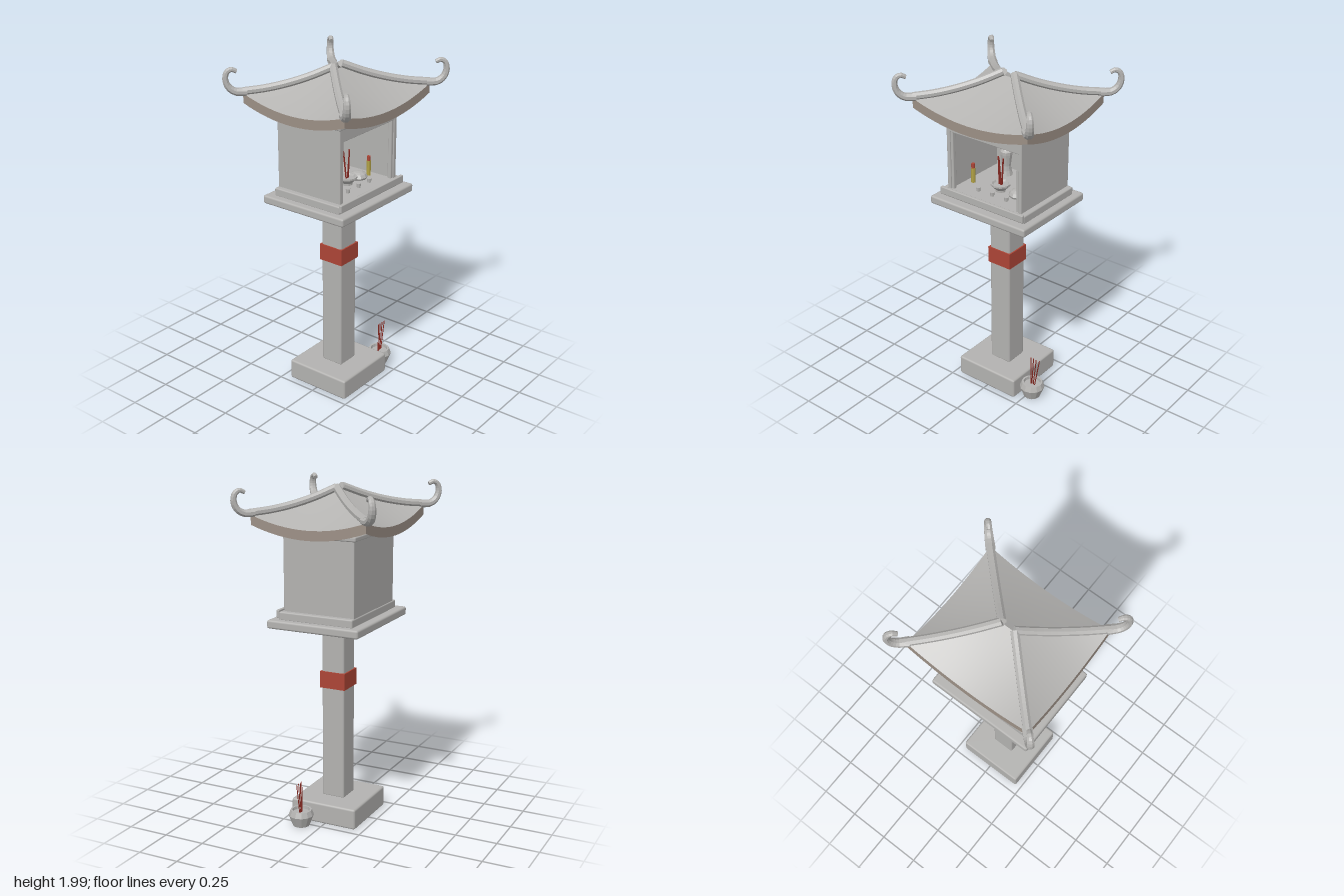
import * as THREE from 'three';
import { RoundedBoxGeometry } from 'three/addons/geometries/RoundedBoxGeometry.js';

const mat = (name, color, extra = {}) => Object.assign(new THREE.MeshStandardMaterial({ color, ...extra }), { name });

export function createModel() {
  const stone = mat('stone', 0xb3b2b0);
  const eave = mat('eaveStone', 0x9c9086, { side: THREE.DoubleSide });
  const red = mat('red', 0xac4536);
  const gold = mat('gold', 0xb0a044);
  const incense = mat('incense', 0x8a2a22);

  const root = new THREE.Group();
  root.name = 'pillarShrine';

  const add = (name, geo, material = stone, parent = root) => {
    const m = new THREE.Mesh(geo, material);
    m.name = name;
    parent.add(m);
    return m;
  };
  // Block given by its min and max on each axis, with a small bevel
  const block = (name, [x0, x1], [y0, y1], [z0, z1], bevel = 0.008, material = stone) => {
    const s = [x1 - x0, y1 - y0, z1 - z0];
    const g = bevel ? new RoundedBoxGeometry(...s, 1, bevel) : new THREE.BoxGeometry(...s);
    return add(name, g.translate((x0 + x1) / 2, (y0 + y1) / 2, (z0 + z1) / 2), material);
  };
  // Faceted turned object from [radius, height] pairs
  const turned = (name, pts, sides, x, y, z, material = stone) => {
    const lathe = new THREE.LatheGeometry(pts.map(p => new THREE.Vector2(...p)), sides).toNonIndexed();
    lathe.computeVertexNormals();
    return add(name, lathe.translate(x, y, z), material);
  };
  // Thin stick between two points
  const stick = (name, a, b, r, material) => {
    const A = new THREE.Vector3(...a), B = new THREE.Vector3(...b);
    const m = add(name, new THREE.CylinderGeometry(r, r, A.distanceTo(B), 6), material);
    m.position.copy(A).add(B).multiplyScalar(0.5);
    m.quaternion.setFromUnitVectors(new THREE.Vector3(0, 1, 0), B.sub(A).normalize());
  };
  const build = (pos, idx) => {
    const g = new THREE.BufferGeometry();
    g.setAttribute('position', new THREE.Float32BufferAttribute(pos, 3));
    g.setIndex(idx);
    return g;
  };

  // Base, pillar and red band
  block('base', [-0.215, 0.207], [0, 0.125], [-0.2, 0.217], 0.012);
  block('pillar', [-0.074, 0.069], [0.12, 1.2], [-0.061, 0.082], 0.01);
  block('redBand', [-0.082, 0.077], [0.8, 0.9], [-0.069, 0.09], 0, red);

  // Platform, floor slab and front lip
  block('platform', [-0.338, 0.334], [1.19, 1.24], [-0.275, 0.296], 0.012);
  block('floorSlab', [-0.296, 0.292], [1.235, 1.285], [-0.222, 0.24]);
  block('frontLip', [-0.296, 0.292], [1.25, 1.295], [0.235, 0.255], 0.005);

  // House: back, sides, front frame, ceiling
  block('backWall', [-0.265, 0.26], [1.28, 1.72], [-0.217, -0.195], 0.004);
  block('leftWall', [0.236, 0.26], [1.28, 1.72], [-0.217, 0.222], 0.004);
  block('rightWall', [-0.265, -0.241], [1.28, 1.72], [-0.217, 0.222], 0.004);
  block('lintel', [-0.262, 0.257], [1.635, 1.72], [0.2, 0.22], 0.004);
  for (const x of [-0.238, 0.233])
    block('doorPost', [x - 0.013, x + 0.013], [1.28, 1.64], [0.19, 0.215], 0.005);
  block('ceilingPlate', [-0.286, 0.282], [1.712, 1.74], [-0.235, 0.239]);

  // Roof: four curved panels whose eaves sag between raised corners
  const RX = 0.391, RZ = 0.348, RIDGE = 0.04, THICK = 0.055;
  const hip = v => 1.838 + 0.02 * v + 0.092 * v * v;
  const roofPoint = (side, u, v, drop) => {
    const hx = RX + (RIDGE - RX) * v, hz = RZ * (1 - v);
    const y = hip(v) - 0.063 * (1 - v) ** 2 * (1 - u * u) - drop;
    const s = side < 2 ? 1 : -1;
    return side % 2 ? [s * hx, y, -s * u * hz] : [s * u * hx, y, s * hz];
  };
  const grid = (nu, nv, fn) => {
    const pos = [], idx = [];
    for (let j = 0; j <= nv; j++)
      for (let i = 0; i <= nu; i++) pos.push(...fn((2 * i) / nu - 1, j / nv));
    for (let j = 0; j < nv; j++)
      for (let i = 0; i < nu; i++) {
        const a = j * (nu + 1) + i, d = a + nu + 1;
        idx.push(a, a + 1, d + 1, a, d + 1, d);
      }
    const g = build(pos, idx);
    g.computeVertexNormals();
    return g;
  };
  for (let side = 0; side < 4; side++) {
    add('roofPanel', grid(16, 10, (u, v) => roofPoint(side, u, v, 0)));
    add('roofUnderside', grid(16, 10, (u, v) => roofPoint(side, -u, v, THICK)), eave);
    add('eaveEdge', grid(16, 1, (u, w) => roofPoint(side, u, 0, THICK * (1 - w))), eave);
  }

  // Faceted bar swept along a path lying in a vertical plane of heading dir
  const sweep = (pts, dir, size, sides) => {
    const curve = new THREE.CatmullRomCurve3(pts);
    const S = dir.clone().cross(new THREE.Vector3(0, 1, 0)).normalize();
    const n = 14, pos = [], idx = [];
    for (let i = 0; i <= n; i++) {
      const p = curve.getPoint(i / n), N = S.clone().cross(curve.getTangent(i / n));
      const [w, h] = size(i / n);
      for (let j = 0; j < sides; j++) {
        const a = ((j + 0.5) / sides) * Math.PI * 2;
        pos.push(...p.clone().addScaledVector(S, w * Math.cos(a)).addScaledVector(N, h * Math.sin(a)).toArray());
      }
    }
    for (let i = 0; i < n; i++)
      for (let j = 0; j < sides; j++) {
        const a = i * sides + j, b = i * sides + (j + 1) % sides;
        idx.push(a, b + sides, b, a, a + sides, b + sides);
      }
    for (let j = 1; j < sides - 1; j++) {
      const e = n * sides;
      idx.push(0, j, j + 1, e, e + j + 1, e + j);
    }
    const g = build(pos, idx).toNonIndexed();
    g.computeVertexNormals();
    return g;
  };

  // Hip ridges with curled finials at the four corners
  const curl = [[-0.015, 1.848], [0.03, 1.85], [0.056, 1.878], [0.066, 1.92], [0.06, 1.958], [0.042, 1.974], [0.022, 1.962]];
  for (const sx of [-1, 1])
    for (const sz of [-1, 1]) {
      const dir = new THREE.Vector3(sx, 0, sz).normalize();
      const ridge = [1, 0.75, 0.5, 0.25, 0].map(v =>
        new THREE.Vector3(sx * (RX + (RIDGE - RX) * v), hip(v) + 0.012 + 0.008 * v, sz * RZ * (1 - v)));
      add('hipRidge', sweep(ridge, dir, () => [0.024, 0.022], 8));
      const path = curl.map(([d, y]) => new THREE.Vector3(sx * (RX + d), y, sz * (RZ + d)));
      add('cornerFinial', sweep(path, dir, t => [0.029 - 0.016 * t, 0.023 - 0.011 * t], 8));
    }

  // Offerings inside the house
  const FLOOR = 1.285;
  turned('smallJar', [[0, 0], [0.038, 0], [0.03, 0.03], [0.027, 0.06], [0.036, 0.13], [0.036, 0.148], [0.024, 0.155], [0, 0.178]], 10, -0.11, FLOOR, -0.12);
  turned('tallJar', [[0, 0], [0.048, 0], [0.044, 0.05], [0.032, 0.13], [0.04, 0.152], [0.04, 0.166], [0.026, 0.172], [0, 0.197]], 10, 0.105, FLOOR, -0.12);
  turned('incenseBowl', [[0, 0], [0.03, 0], [0.03, 0.012], [0.058, 0.04], [0.058, 0.05], [0.048, 0.05], [0.042, 0.04], [0, 0.04]], 10, -0.003, FLOOR, 0.07);
  turned('dish', [[0, 0], [0.05, 0], [0.056, 0.012], [0.045, 0.03], [0.025, 0.04], [0, 0.043]], 10, 0.115, FLOOR, 0.06);
  for (const x of [-0.1, 0, 0.1])
    turned('cup', [[0, 0], [0.011, 0], [0.013, 0.024], [0, 0.024]], 8, x, FLOOR, 0.15);
  for (const [x0, x1, z1] of [[-0.012, -0.026, 0.06], [0, -0.003, 0.085], [0.006, 0.016, 0.07]])
    stick('incenseStick', [x0, 1.32, 0.07], [x1, 1.49, z1], 0.0045, incense);
  for (const x of [-0.195, 0.188]) {
    turned('candle', [[0, 0], [0.013, 0], [0.013, 0.09], [0, 0.09]], 8, x, FLOOR, 0.08, gold);
    turned('candleTip', [[0, 0], [0.011, 0], [0.011, 0.028], [0, 0.028]], 8, x, FLOOR + 0.09, 0.08, red);
  }

  // Incense pot standing beside the base
  turned('groundPot', [[0, 0], [0.05, 0], [0.075, 0.066], [0.063, 0.098], [0.052, 0.098], [0.05, 0.08], [0, 0.08]], 12, 0.272, 0, 0.118);
  for (const [x0, x1] of [[0.262, 0.262], [0.27, 0.28], [0.28, 0.3], [0.29, 0.323]])
    stick('groundIncenseStick', [x0, 0.075, 0.118], [x1, 0.268, 0.118], 0.003, incense);

  return root;
}
